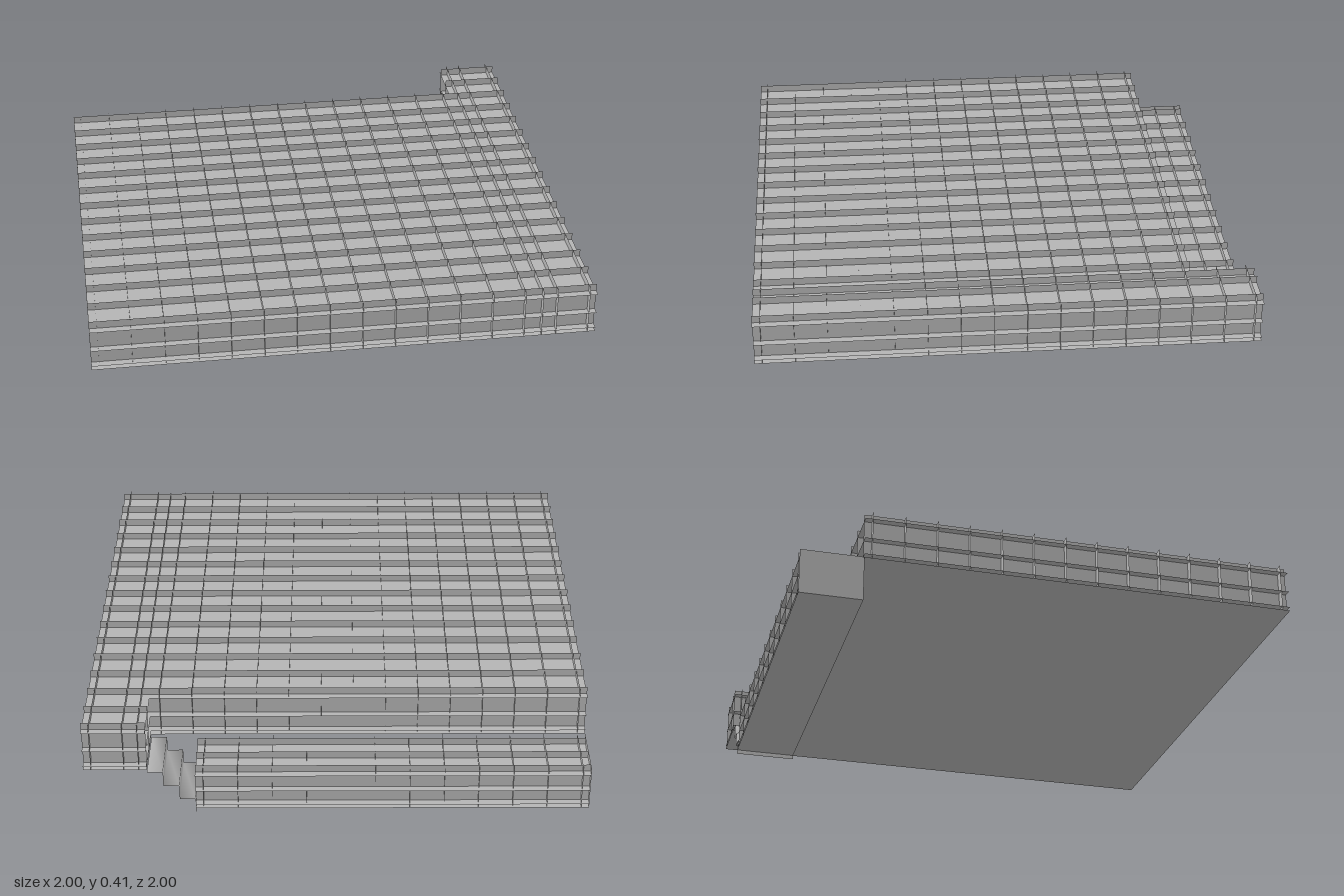
import * as THREE from 'three';
import { mergeGeometries } from 'three/addons/utils/BufferGeometryUtils.js';

const grey = new THREE.MeshStandardMaterial({ color: 0xb4b4b4, side: THREE.DoubleSide });
grey.name = 'stone grey';

const INSET = 0.031; // how far the outermost sheets sit inside the block outline

// Evenly spaced sheet positions between two block limits
function spaced(min, max, count) {
  const a = min + INSET, b = max - INSET;
  return Array.from({ length: count }, (_, i) => a + ((b - a) * i) / (count - 1));
}

// Rectangular sheet across one axis; the box is [x0, x1, y0, y1, z0, z1]
function sheet(axis, pos, [x0, x1, y0, y1, z0, z1]) {
  let g;
  if (axis === 'x') {
    g = new THREE.PlaneGeometry(z1 - z0, y1 - y0).rotateY(Math.PI / 2);
    g.translate(pos, (y0 + y1) / 2, (z0 + z1) / 2);
  } else if (axis === 'y') {
    g = new THREE.PlaneGeometry(x1 - x0, z1 - z0).rotateX(-Math.PI / 2);
    g.translate((x0 + x1) / 2, pos, (z0 + z1) / 2);
  } else {
    g = new THREE.PlaneGeometry(x1 - x0, y1 - y0);
    g.translate((x0 + x1) / 2, (y0 + y1) / 2, pos);
  }
  return g;
}

function addMesh(group, name, geometries) {
  const mesh = new THREE.Mesh(mergeGeometries(geometries), grey);
  mesh.name = name;
  group.add(mesh);
}

export function createModel() {
  const model = new THREE.Group();
  model.name = 'slabWithStairwell';

  // Upper slab: main part, plus the corner piece beside the stairwell
  const y0 = 0.203, y1 = 0.406;
  const main = [-1, 1, y0, y1, -0.75, 1];
  const corner = [0.75, 1, y0, y1, -1, -0.75];
  const full = [-1, 1, y0, y1, -1, 1];

  const acrossX = [];
  for (const x of spaced(-1, 1, 16)) acrossX.push(sheet('x', x, x > 0.75 ? full : main));
  acrossX.push(sheet('x', 0.75 + INSET, full));
  addMesh(model, 'upperCrossSheets', acrossX);

  const acrossZ = spaced(-0.75, 1, 14).map((z) => sheet('z', z, main));
  for (const z of [-1 + INSET, -0.85]) acrossZ.push(sheet('z', z, corner));
  addMesh(model, 'upperLengthSheets', acrossZ);

  const levels = [];
  for (const y of [y0, y0 + 0.016, 0.289, y1 - INSET]) {
    levels.push(sheet('y', y, main), sheet('y', y, corner));
  }
  addMesh(model, 'upperLevelSheets', levels);

  // Lower slab under the stairwell
  const low = [-1, 0.5625, 0.018, 0.203, -1, -0.75];
  const lower = [sheet('x', -1, low)];
  for (const x of spaced(-1, 0.5625, 12)) lower.push(sheet('x', x, low));
  for (const z of spaced(-1, -0.75, 3)) lower.push(sheet('z', z, low));
  for (const y of [0.018, 0.034, 0.1, 0.203 - INSET]) lower.push(sheet('y', y, low));
  addMesh(model, 'lowerSlab', lower);

  // Stairs: a folded sheet with softly shaded edges
  const profile = [[0.5625, 0]];
  for (let i = 0; i < 3; i++) {
    const x = 0.5625 + i * 0.0625, y = (i + 1) * 0.0635;
    profile.push([x, y], [x + 0.0625, y]);
  }
  const positions = [], index = [];
  profile.forEach(([x, y], i) => {
    positions.push(x, y, -0.75, x, y, -1);
    if (i > 0) {
      const a = 2 * i - 2;
      index.push(a, a + 2, a + 1, a + 1, a + 2, a + 3);
    }
  });
  const stairs = new THREE.BufferGeometry();
  stairs.setAttribute('position', new THREE.Float32BufferAttribute(positions, 3));
  stairs.setIndex(index);
  stairs.computeVertexNormals();
  const stairMesh = new THREE.Mesh(stairs, grey);
  stairMesh.name = 'stairs';
  model.add(stairMesh);

  return model;
}
